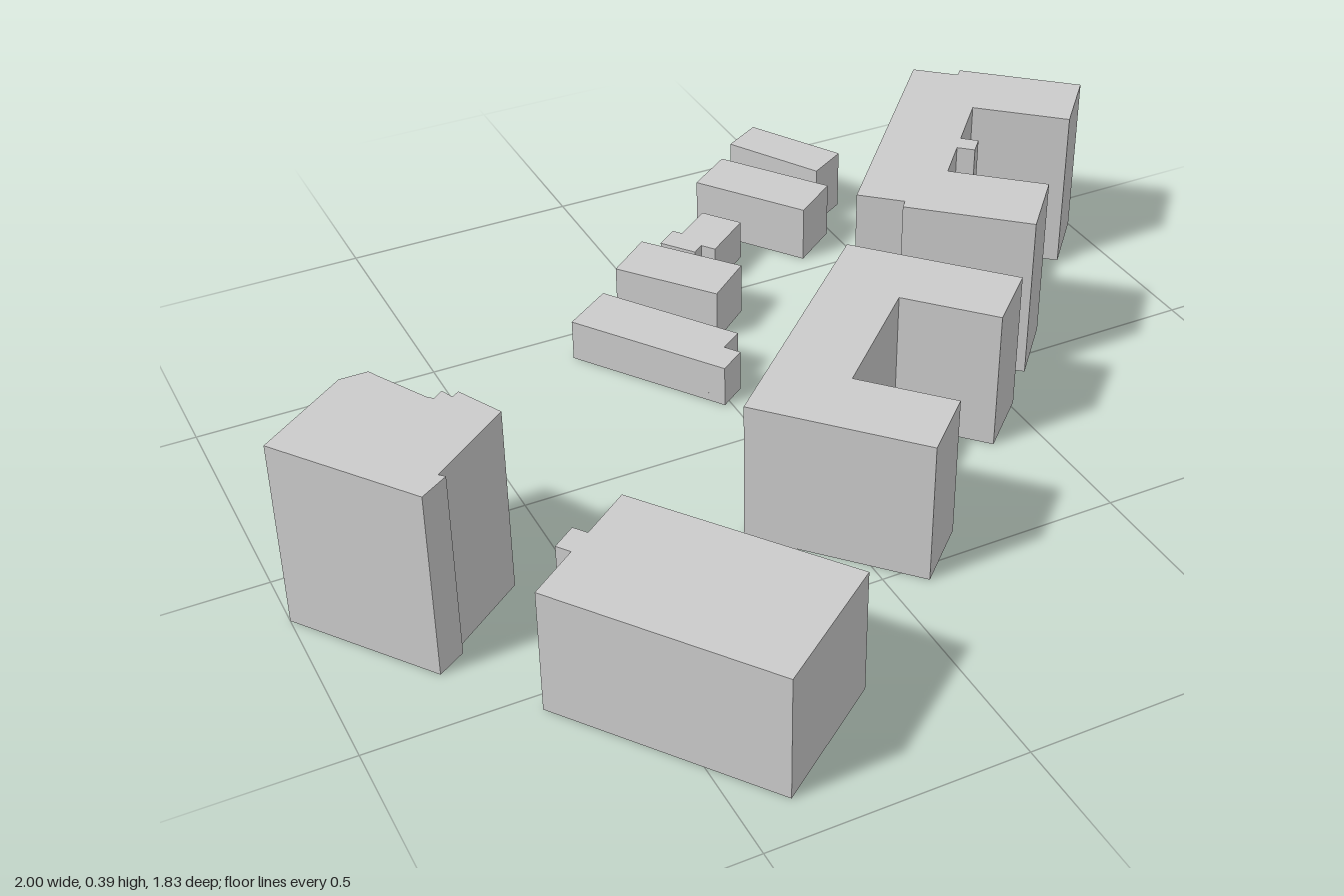
import * as THREE from 'three';

const material = new THREE.MeshStandardMaterial({ color: 0xcccccc, flatShading: true });
const rad = THREE.MathUtils.degToRad;

// Places a mesh on the ground; angle is measured from +x towards +z
function place(geometry, name, x, z, angle) {
  const mesh = new THREE.Mesh(geometry, material);
  mesh.name = name;
  mesh.position.set(x, 0, z);
  mesh.rotation.y = -rad(angle);
  return mesh;
}

// Rectangular volume centred on x, z
function block(name, x, z, length, width, angle, height) {
  const geometry = new THREE.BoxGeometry(length, height, width).translate(0, height / 2, 0);
  return place(geometry, name, x, z, angle);
}

// Footprint of [x, z] corners raised to a height
function raise(corners, height) {
  const shape = new THREE.Shape(corners.map(([x, z]) => new THREE.Vector2(x, -z)));
  return new THREE.ExtrudeGeometry(shape, { depth: height, bevelEnabled: false }).rotateX(-Math.PI / 2);
}

// U-shaped footprint: a spine with two wings, which may step outwards by flare
function courtyard(length, depth, spine, wing, flare) {
  const half = [[0, 0], [0, 0.1], [-flare, 0.1], [-flare, depth], [wing - flare, depth], [wing - flare, spine]];
  const mirrored = half.map(([x, z]) => [length - x, z]).reverse();
  return [...half, ...mirrored];
}

export function createModel() {
  const group = new THREE.Group();

  // Tower with a stepped, slanted side
  const tower = [[-1, 0.12], [-0.825, -0.01], [-0.77, -0.01], [-0.76, 0.01], [-0.705, 0.11], [-0.695, 0.12],
    [-0.675, 0.105], [-0.665, 0.13], [-0.65, 0.12], [-0.605, 0.21], [-0.765, 0.33], [-0.755, 0.34], [-0.81, 0.375]];
  group.add(place(raise(tower, 0.39), 'cornerTower', 0, 0, 0));

  // Wide block with a stair bay at its back
  group.add(block('wideBlock', -0.4275, 0.638, 0.47, 0.292, 53.4, 0.26));
  group.add(block('stairBay', -0.574, 0.44, 0.04, 0.057, 53.4, 0.26));

  // Two courtyard blocks, the taller with stepped wings and a bay in the court
  group.add(place(raise(courtyard(0.594, 0.362, 0.156, 0.152, 0), 0.3), 'courtyardBlock', -0.17, 0.275, -42.95));
  const tall = place(raise(courtyard(0.571, 0.37, 0.16, 0.165, 0.022), 0.355), 'tallCourtyardBlock', 0.33, -0.21, -48.2);
  tall.add(block('courtyardBay', 0.266, 0.177, 0.042, 0.042, 0, 0.355));
  group.add(tall);

  // Row of small houses at the back
  group.add(block('endHouse', 0.471, -0.795, 0.232, 0.097, 59.6, 0.135));
  group.add(block('secondHouse', 0.36, -0.69, 0.268, 0.122, 54.1, 0.125));
  group.add(block('lowHouse', 0.19, -0.615, 0.125, 0.095, -37, 0.09));
  group.add(block('lowHouseAnnex', 0.122, -0.599, 0.057, 0.084, -37, 0.09));
  group.add(block('fourthHouse', 0.05, -0.4725, 0.237, 0.122, 51.4, 0.115));
  group.add(block('longHouse', -0.0775, -0.32, 0.323, 0.125, 55, 0.09));
  group.add(block('longHousePorch', 0.002, -0.156, 0.038, 0.067, 55, 0.09));
  return group;
}
